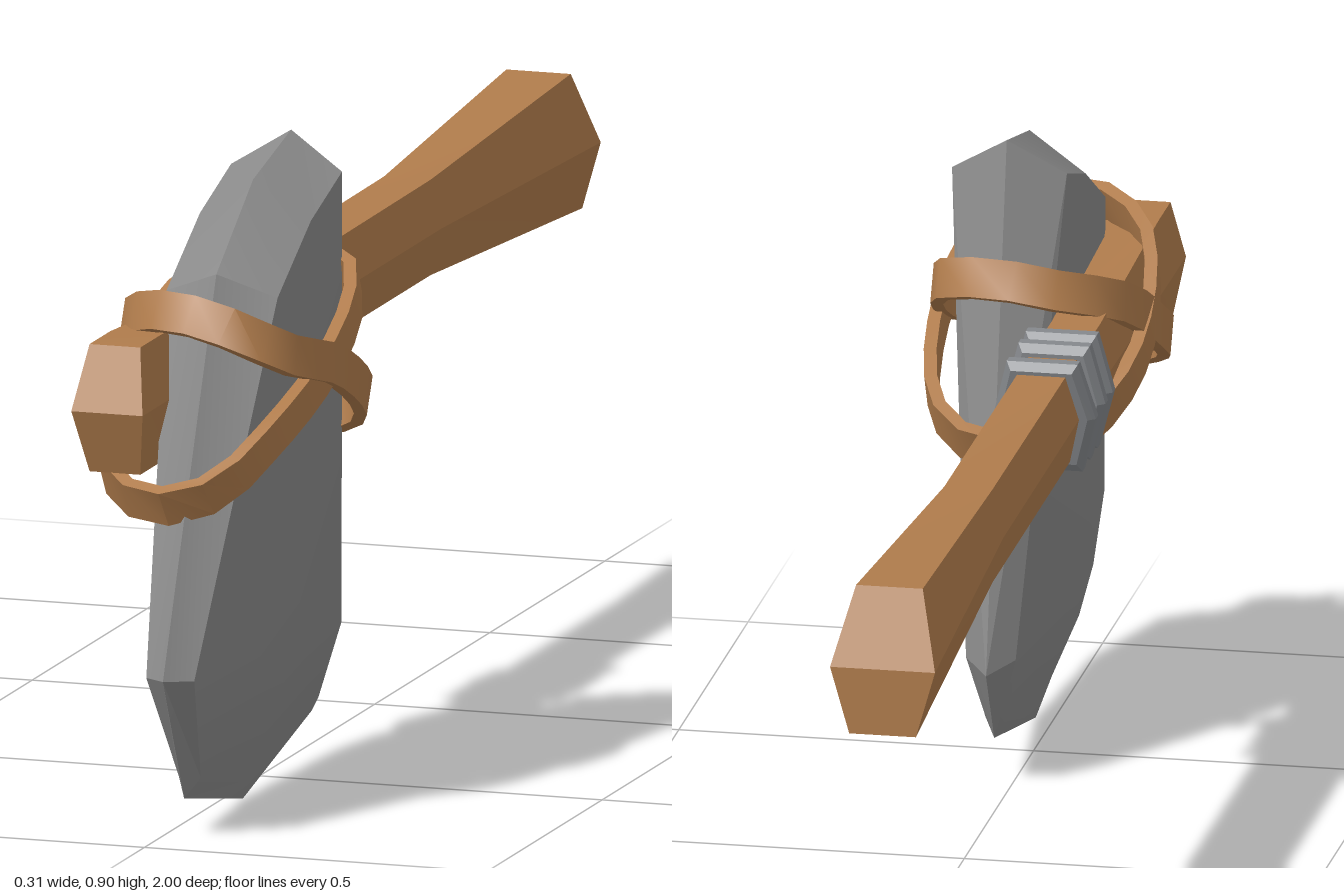
import * as THREE from 'three';
import { toCreasedNormals } from 'three/addons/utils/BufferGeometryUtils.js';

const material = (name, color) => {
  const m = new THREE.MeshStandardMaterial({ color });
  m.name = name;
  return m;
};
const V = (x, y, z) => new THREE.Vector3(x, y, z);

// Geometry from a list of triangle corners, sharp above the crease angle
function fromTriangles(points, crease) {
  const g = new THREE.BufferGeometry().setFromPoints(points);
  g.computeVertexNormals();
  return toCreasedNormals(g, crease);
}

// Skin a series of cross-sections; either closed into a loop or capped
function loft(rings, closed, crease) {
  const tris = [], n = rings[0].length, last = rings.length - 1;
  for (let i = 0; i < (closed ? last + 1 : last); i++) {
    const r = rings[i], s = rings[(i + 1) % rings.length];
    for (let j = 0; j < n; j++) {
      const k = (j + 1) % n;
      tris.push(r[j], r[k], s[k], r[j], s[k], s[j]);
    }
  }
  if (!closed) {
    for (let j = 1; j < n - 1; j++) {
      tris.push(rings[0][0], rings[0][j + 1], rings[0][j]);
      tris.push(rings[last][0], rings[last][j], rings[last][j + 1]);
    }
  }
  return fromTriangles(tris, crease);
}

// Six-sided section: side ridges at z, top and bottom edges at their own z
function hexRing(hw, tw, yMid, yTop, yBottom, z, zTop = z, zBottom = z) {
  const x = -0.08;
  return [
    V(x + hw, yMid, z), V(x + tw, yTop, zTop), V(x - tw, yTop, zTop),
    V(x - hw, yMid, z), V(x - tw, yBottom, zBottom), V(x + tw, yBottom, zBottom),
  ];
}

// Stone head: sharp rim on the centre plane, faceted inwards to two broad sides
function stoneGeometry() {
  const cx = 0.026;
  // rim z, rim y, inner z, inner y, inner half width
  const profile = [
    [0.44, 0.907, 0.46, 0.857, 0.081],
    [0.605, 0.87, 0.595, 0.815, 0.081],
    [0.765, 0.768, 0.74, 0.735, 0.081],
    [0.997, 0.238, 0.965, 0.235, 0.035],
    [0.905, 0.055, 0.88, 0.08, 0.016],
    [0.65, 0.003, 0.65, 0.03, 0.008],
    [0.35, 0.067, 0.37, 0.09, 0.016],
    [0.29, 0.175, 0.325, 0.19, 0.035],
  ];
  const tris = [];
  for (const side of [1, -1]) {
    const rim = profile.map(p => V(cx, p[1], p[0]));
    const inner = profile.map(p => V(cx + side * p[4], p[3], p[2]));
    const centre = V(cx + side * 0.081, 0.23, 0.65);
    const add = (a, b, c) => (side > 0 ? tris.push(a, b, c) : tris.push(a, c, b));
    for (let i = 0; i < rim.length; i++) {
      const k = (i + 1) % rim.length;
      add(centre, inner[i], inner[k]);
      add(rim[i], rim[k], inner[k]);
      add(rim[i], inner[k], inner[i]);
    }
  }
  return fromTriangles(tris, 0.4);
}

// Flat band following a closed path, its width along the given direction
function strapGeometry(points, widthDir) {
  const curve = new THREE.CatmullRomCurve3(points.map(p => V(...p)), true);
  const rings = [], steps = 24, w = 0.028, t = 0.009;
  for (let i = 0; i < steps; i++) {
    const p = curve.getPointAt(i / steps), tan = curve.getTangentAt(i / steps);
    const out = widthDir.clone().cross(tan).normalize();
    const up = tan.clone().cross(out);
    rings.push([[t, -w], [t, w], [-t, w], [-t, -w]].map(([a, b]) =>
      p.clone().addScaledVector(out, a).addScaledVector(up, b)));
  }
  return loft(rings, true, 0.6);
}

export function createModel() {
  const group = new THREE.Group();
  const wood = material('wood', 0xb07c4c);
  const stone = material('stone', 0x8a8a8a);
  const cord = material('cord', 0x85888c);
  const add = (name, geometry, mat) => {
    const mesh = new THREE.Mesh(geometry, mat);
    mesh.name = name;
    group.add(mesh);
  };

  // Handle, flared at the grip and slightly swollen at the head
  add('handle', loft([
    hexRing(0.074, 0.047, 0.595, 0.70, 0.50, -1, -0.95, -1),
    hexRing(0.05, 0.034, 0.597, 0.665, 0.53, -0.38),
    hexRing(0.05, 0.034, 0.597, 0.662, 0.53, 0.4),
    hexRing(0.052, 0.037, 0.596, 0.685, 0.505, 0.8),
    hexRing(0.052, 0.037, 0.596, 0.685, 0.505, 0.925, 0.89, 0.89),
  ], false, 0.2), wood);

  add('stoneHead', stoneGeometry(), stone);

  // Three bevelled cord bindings, each leaning a little more
  [[0.303, 0.004], [0.25, 0.004], [0.18, 0.018]].forEach(([z, lean], i) => {
    const rings = [[-0.018, 0.86], [-0.009, 1], [0.009, 1], [0.018, 0.86]].map(([dz, s]) =>
      hexRing(0.072 * s, 0.05 * s, 0.597, 0.597 + 0.083 * s, 0.597 - 0.083 * s,
        z + dz, z + dz - lean, z + dz + lean));
    add('binding' + (i + 1), loft(rings, false, 0.2), cord);
  });

  // Two crossing straps lashing the stone to the handle
  add('strapFrontHigh', strapGeometry([
    [-0.05, 0.715, 0.785], [0.02, 0.712, 0.805], [0.075, 0.695, 0.805], [0.125, 0.66, 0.755],
    [0.147, 0.62, 0.62], [0.128, 0.535, 0.43], [0.085, 0.50, 0.365], [0.026, 0.487, 0.345],
    [-0.07, 0.495, 0.375], [-0.125, 0.54, 0.44], [-0.147, 0.60, 0.56], [-0.12, 0.685, 0.71],
  ], V(0, 0.89, -0.45)), wood);
  add('strapFrontLow', strapGeometry([
    [-0.05, 0.705, 0.40], [0.026, 0.72, 0.388], [0.10, 0.71, 0.415], [0.13, 0.68, 0.48],
    [0.137, 0.615, 0.62], [0.115, 0.545, 0.81], [0.075, 0.495, 0.885], [0.026, 0.472, 0.908],
    [-0.04, 0.468, 0.90], [-0.11, 0.50, 0.84], [-0.147, 0.58, 0.65], [-0.125, 0.67, 0.48],
  ], V(0, 0.89, 0.45)), wood);

  return group;
}
